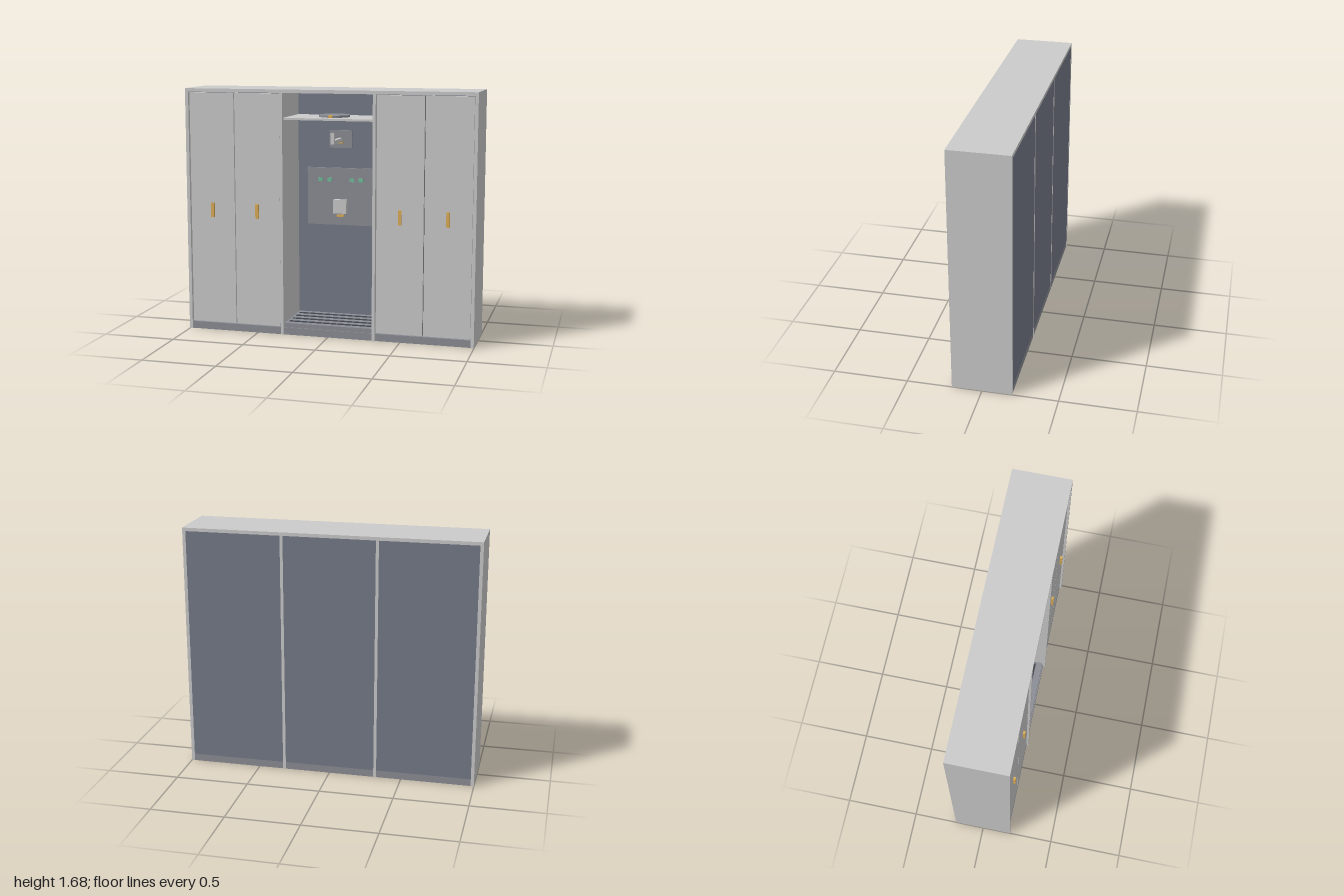
import * as THREE from 'three';

const mat = (color) => new THREE.MeshStandardMaterial({ color });

export function createModel() {
  const model = new THREE.Group();
  const body = mat(0xcccccc), slate = mat(0x757b88), plinthGrey = mat(0x8c8e95);
  const pale = mat(0xeaeaea), brass = mat(0xdcae58), green = mat(0x72c09c), dark = mat(0x44484f);

  // Box given by its lower and upper corners
  const box = (name, material, x0, x1, y0, y1, z0, z1) => {
    const mesh = new THREE.Mesh(new THREE.BoxGeometry(x1 - x0, y1 - y0, z1 - z0), material);
    mesh.position.set((x0 + x1) / 2, (y0 + y1) / 2, (z0 + z1) / 2);
    mesh.name = name;
    model.add(mesh);
    return mesh;
  };

  // Carcass: top, plinth, end panels and dividers
  box('topPanel', body, -1, 1, 1.657, 1.68, -0.2, 0.2);
  box('plinth', plinthGrey, -0.998, 0.998, 0, 0.05, -0.198, 0.185);
  for (const [x0, x1, name] of [[-1, -0.978, 'endPanel'], [-0.33, -0.31, 'divider'],
    [0.31, 0.33, 'divider'], [0.978, 1, 'endPanel']]) {
    box(name, body, x0, x1, 0.001, 1.657, -0.2, 0.2);
  }

  // Back panels, one for each bay
  for (const [x0, x1] of [[-0.978, -0.33], [-0.31, 0.31], [0.33, 0.978]]) {
    box('backPanel', slate, x0, x1, 0.05, 1.657, -0.199, -0.18);
  }

  // Doors and handles, two on each side
  for (const s of [-1, 1]) {
    for (const [a, b, handle] of [[0.335, 0.652, 0.495], [0.658, 0.974, 0.815]]) {
      box('door', body, Math.min(s * a, s * b), Math.max(s * a, s * b), 0.056, 1.652, 0.165, 0.185);
      box('doorHandle', brass, s * handle - 0.011, s * handle + 0.011, 0.8, 0.9, 0.185, 0.2);
    }
    // Dark strip behind the gap between the two doors
    box('doorGap', dark, s * 0.655 - 0.012, s * 0.655 + 0.012, 0.056, 1.652, 0.155, 0.164);
  }

  // Floor tray with dark slots
  box('floorTray', plinthGrey, -0.307, 0.307, 0.05, 0.08, -0.18, 0.178);
  for (let i = 0; i < 4; i++) {
    const z = -0.12 + i * 0.08;
    box('traySlot', dark, -0.29, 0.29, 0.079, 0.083, z - 0.012, z + 0.012);
  }

  // Upper shelf with a round plate
  box('shelf', pale, -0.31, 0.31, 1.476, 1.49, -0.18, 0.17);
  const disc = new THREE.Mesh(new THREE.CylinderGeometry(0.105, 0.105, 0.014, 40), plinthGrey);
  disc.position.set(0, 1.498, 0);
  disc.name = 'roundPlate';
  model.add(disc);
  box('roundPlateTab', brass, -0.013, 0.013, 1.492, 1.508, 0.095, 0.122);

  // Hook bracket on the back wall
  box('hookPlate', plinthGrey, -0.08, 0.08, 1.262, 1.385, -0.18, -0.165);
  box('hookArm', pale, -0.013, 0.013, 1.307, 1.333, -0.165, 0.035);
  box('hookTip', pale, -0.013, 0.013, 1.307, 1.385, 0.035, 0.06);
  box('hookTab', brass, -0.018, 0.018, 1.296, 1.308, -0.165, -0.145);

  // Wall panel with lamps and a small box
  box('wallPanel', plinthGrey, -0.24, 0.24, 0.72, 1.122, -0.18, -0.165);
  for (const x of [-0.145, -0.08, 0.08, 0.145]) {
    box('lamp', green, x - 0.016, x + 0.016, 1.026, 1.052, -0.165, -0.158);
  }
  box('wallBox', pale, -0.047, 0.047, 0.805, 0.902, -0.165, -0.135);
  box('wallBoxTab', brass, -0.025, 0.025, 0.782, 0.794, -0.165, -0.138);

  return model;
}
